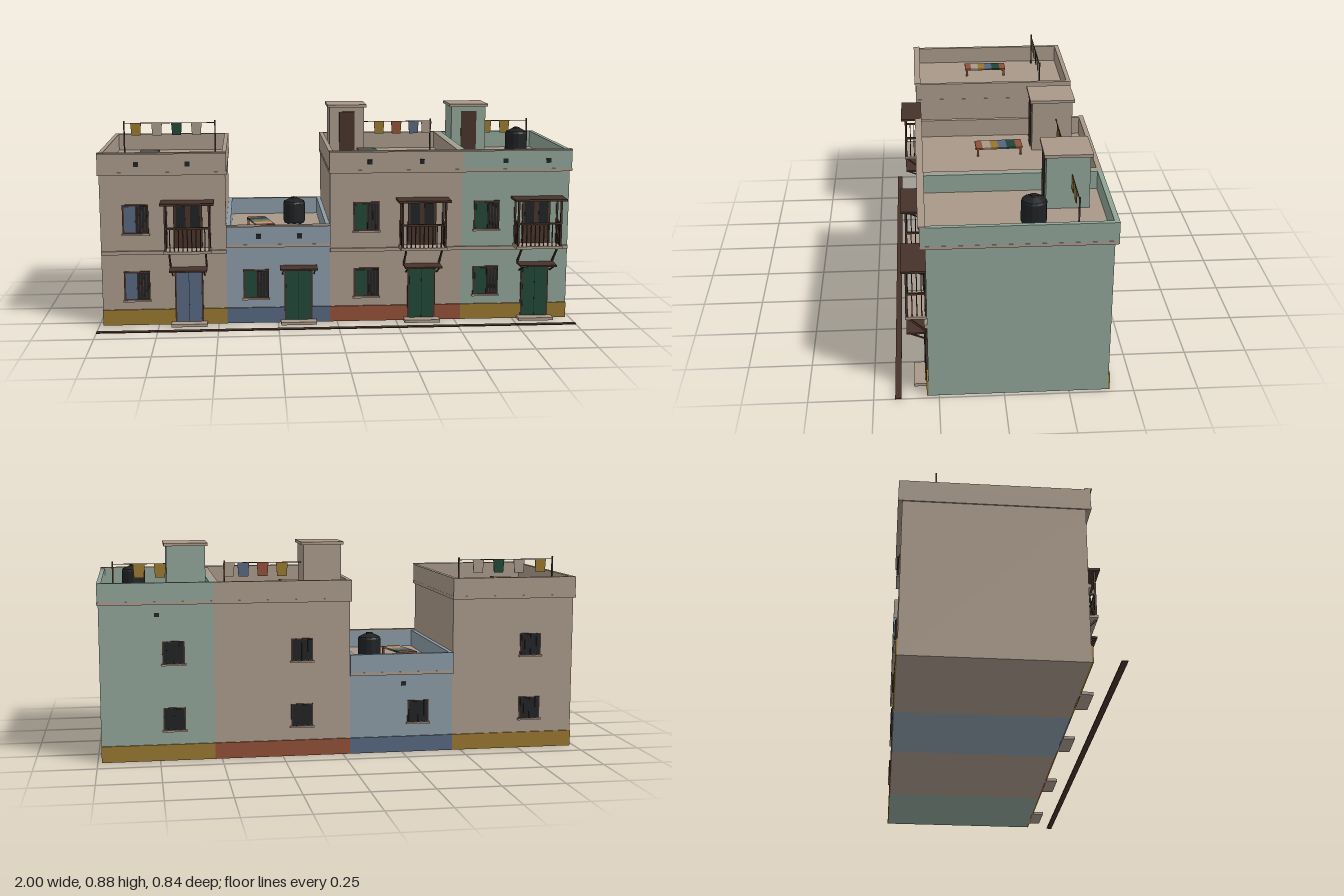
import * as THREE from 'three';

const mat = (name, color) => {
  const m = new THREE.MeshStandardMaterial({ color });
  m.name = name;
  return m;
};

export function createModel() {
  const M = {
    taupe: mat('taupe plaster', 0xa89889),
    sage: mat('sage plaster', 0x8fa396),
    sky: mat('pale blue plaster', 0x8a9aa5),
    ochre: mat('ochre', 0x96762f),
    brick: mat('brick red', 0x8f4f36),
    slate: mat('slate blue', 0x56657d),
    green: mat('dark green', 0x1f4636),
    brown: mat('dark brown', 0x463229),
    black: mat('near black', 0x1f2123),
  };
  const root = new THREE.Group();
  root.name = 'houseRow';

  const group = (name, parent, x = 0, y = 0, z = 0) => {
    const g = new THREE.Group();
    g.name = name;
    g.position.set(x, y, z);
    parent.add(g);
    return g;
  };
  const add = (name, geo, m, parent) => {
    const mesh = new THREE.Mesh(geo, m);
    mesh.name = name;
    parent.add(mesh);
    return mesh;
  };
  // Box given by its limits on each axis
  const box = (name, m, parent, x0, x1, y0, y1, z0, z1) => {
    const b = add(name, new THREE.BoxGeometry(x1 - x0, y1 - y0, z1 - z0), m, parent);
    b.position.set((x0 + x1) / 2, (y0 + y1) / 2, (z0 + z1) / 2);
    return b;
  };
  // Square bar between two points in a plane of constant x
  const strut = (name, m, parent, x, y0, z0, y1, z1, t) => {
    const s = add(name, new THREE.BoxGeometry(t, t, Math.hypot(y1 - y0, z1 - z0)), m, parent);
    s.position.set(x, (y0 + y1) / 2, (z0 + z1) / 2);
    s.rotation.x = -Math.atan2(y1 - y0, z1 - z0);
  };

  const FRONT = 0.29, BACK = -0.402;

  // Rectangular wall ring around a flat roof
  function parapet(parent, m, x0, x1, y0, y1) {
    const rect = (P, a, b, c, d) => new P().moveTo(a, c).lineTo(b, c).lineTo(b, d).lineTo(a, d).closePath();
    const s = rect(THREE.Shape, x0, x1, -0.31, 0.417);
    s.holes.push(rect(THREE.Path, x0 + 0.018, x1 - 0.018, -0.29, 0.397));
    const p = add('parapet', new THREE.ExtrudeGeometry(s, { depth: y1 - y0, bevelEnabled: false }), m, parent);
    p.rotation.x = -Math.PI / 2;
    p.position.y = y0;
  }

  function frontWindow(parent, x, y, paint) {
    const g = group('frontWindow', parent, x, y, FRONT);
    box('windowFrame', M.brown, g, -0.054, 0.054, 0, 0.123, 0, 0.006);
    box('paintedSash', paint, g, -0.046, 0, 0.007, 0.116, 0.006, 0.009);
    box('openPane', M.black, g, 0.003, 0.05, 0.006, 0.117, 0.006, 0.01);
    for (const bx of [0.014, 0.027, 0.04]) box('windowBar', M.brown, g, bx - 0.0015, bx + 0.0015, 0.006, 0.117, 0.01, 0.012);
    box('windowSill', M.taupe, g, -0.058, 0.058, -0.007, 0, 0, 0.012);
  }

  function backWindow(parent, x, y) {
    const g = group('backWindow', parent, x, y, BACK);
    box('windowFrame', M.brown, g, -0.045, 0.045, 0, 0.092, -0.005, 0);
    box('windowPane', M.black, g, -0.04, 0.04, 0.004, 0.088, -0.008, -0.005);
    for (const bx of [-0.025, 0, 0.025]) box('windowBar', M.black, g, bx - 0.002, bx + 0.002, 0, 0.092, -0.011, -0.008);
    box('windowSill', M.taupe, g, -0.05, 0.05, -0.007, 0, -0.012, 0);
  }

  function entrance(parent, x, paint) {
    const g = group('entrance', parent, x, 0, FRONT);
    box('doorFrame', M.brown, g, -0.059, 0.059, 0, 0.23, 0, 0.008);
    box('door', paint, g, -0.052, 0.052, 0.012, 0.223, 0.008, 0.011);
    box('doorSeam', M.black, g, -0.001, 0.001, 0.012, 0.223, 0.011, 0.012);
    box('doorStep', M.taupe, g, -0.075, 0.075, 0, 0.012, 0, 0.055);
    box('doorCanopy', M.brown, g, -0.078, 0.078, 0.239, 0.246, 0, 0.078);
    for (const s of [-1, 1]) strut('canopyBrace', M.brown, g, s * 0.066, 0.21, 0.002, 0.24, 0.074, 0.005);
  }

  function balcony(parent, x) {
    const g = group('balcony', parent, x, 0, FRONT);
    const T = M.brown;
    box('balconySlab', M.taupe, g, -0.098, 0.098, 0.317, 0.328, 0, 0.082);
    box('balconyDoorFrame', T, g, -0.06, 0.06, 0.328, 0.518, 0, 0.007);
    for (const s of [-1, 1]) {
      box('balconyDoorGlass', M.black, g, s * 0.03 - 0.02, s * 0.03 + 0.02, 0.41, 0.505, 0.007, 0.009);
      box('balconyPost', T, g, s * 0.09 - 0.004, s * 0.09 + 0.004, 0.328, 0.522, 0.07, 0.078);
      box('wallPost', T, g, s * 0.09 - 0.004, s * 0.09 + 0.004, 0.328, 0.522, 0, 0.006);
      box('sideRail', T, g, s * 0.09 - 0.004, s * 0.09 + 0.004, 0.42, 0.428, 0, 0.078);
      for (let i = 1; i < 4; i++) box('sideBaluster', T, g, s * 0.09 - 0.002, s * 0.09 + 0.002, 0.328, 0.42, i * 0.018 - 0.002, i * 0.018 + 0.002);
      strut('balconyBrace', T, g, s * 0.075, 0.25, 0.002, 0.317, 0.078, 0.007);
    }
    box('frontRail', T, g, -0.094, 0.094, 0.42, 0.428, 0.07, 0.078);
    for (let i = -4; i <= 4; i++) box('frontBaluster', T, g, i * 0.018 - 0.002, i * 0.018 + 0.002, 0.328, 0.42, 0.072, 0.076);
    box('balconyCanopy', T, g, -0.11, 0.11, 0.521, 0.53, 0, 0.094);
  }

  function waterTank(parent, x, y, z) {
    const profile = [[0, 0.01], [0.044, 0.01], [0.049, 0.02], [0.049, 0.1], [0.045, 0.108], [0.016, 0.122], [0.014, 0.126], [0, 0.126]];
    const geo = new THREE.LatheGeometry(profile.map(p => new THREE.Vector2(...p)), 14).toNonIndexed();
    geo.computeVertexNormals();
    const g = group('waterTank', parent, x, y, z);
    add('tankBody', geo, M.black, g);
    for (const a of [0.8, 2.4, 3.9, 5.5]) {
      const c = Math.cos(a) * 0.037, s = Math.sin(a) * 0.037;
      box('tankFoot', M.black, g, c - 0.005, c + 0.005, 0, 0.012, s - 0.005, s + 0.005);
    }
  }

  function cot(parent, x, y, turn) {
    const g = group('stripedCot', parent, x, y, -0.033);
    g.rotation.y = turn;
    const stripes = [['brick', -0.098, -0.07], ['green', -0.07, -0.032], ['slate', -0.032, 0.003],
      ['ochre', 0.003, 0.035], ['taupe', 0.035, 0.07], ['brick', 0.07, 0.098]];
    for (const [c, a, b] of stripes) box('cotStripe', M[c], g, -0.041, 0.041, 0.03, 0.037, a, b);
    for (const sx of [-1, 1]) for (const sz of [-1, 1])
      box('cotLeg', M.brick, g, sx * 0.036 - 0.004, sx * 0.036 + 0.004, 0, 0.03, sz * 0.09 - 0.004, sz * 0.09 + 0.004);
  }

  function clothesline(parent, x0, x1, y, posts, clothes) {
    const g = group('clothesline', parent, 0, 0, -0.275);
    for (const p of posts) box('linePost', M.brown, g, p - 0.003, p + 0.003, y, 0.8, -0.003, 0.003);
    box('line', M.brown, g, x0, x1, 0.788, 0.791, -0.0015, 0.0015);
    // Each garment narrows a little at the top
    for (const [x, c] of clothes) {
      const s = new THREE.Shape().moveTo(-0.02, 0).lineTo(0.02, 0).lineTo(0.024, 0.056).lineTo(-0.024, 0.056).closePath();
      const cloth = add('garment', new THREE.ExtrudeGeometry(s, { depth: 0.004, bevelEnabled: false }), M[c], g);
      cloth.position.set(x, 0.733, -0.002);
    }
  }

  // Stair head with a door, standing on the roof
  function stairHead(parent, x, y, wall) {
    const g = group('stairHead', parent, x, 0, 0);
    box('stairHeadWalls', wall, g, -0.078, 0.078, y, 0.865, -0.344, -0.175);
    box('stairHeadCap', M.taupe, g, -0.088, 0.088, 0.865, 0.877, -0.353, -0.166);
    box('stairHeadDoor', M.brown, g, -0.034, 0.036, y, 0.845, -0.175, -0.171);
  }

  const houses = [
    { x0: -0.984, x1: -0.465, wall: 'taupe', base: 'ochre', paint: 'slate', win: -0.839, door: -0.623, tall: true, vents: [-0.83, -0.62], back: -0.8 },
    { x0: -0.465, x1: -0.03, wall: 'sky', base: 'slate', paint: 'green', win: -0.342, door: -0.164, tall: false, vents: [-0.33, -0.16], back: -0.318, backVent: [-0.255, 0.288] },
    { x0: -0.03, x1: 0.527, wall: 'taupe', base: 'brick', paint: 'green', win: 0.123, door: 0.358, tall: true, vents: [0.135, 0.353], back: 0.17 },
    { x0: 0.527, x1: 0.984, wall: 'sage', base: 'ochre', paint: 'green', win: 0.633, door: 0.845, tall: true, vents: [0.705, 0.888], back: 0.69, backVent: [0.754, 0.595] },
  ];
  const TALL = 0.637, LOW = 0.328, SLAB = 0.013;

  houses.forEach((h, i) => {
    const g = group('house' + (i + 1), root);
    const wall = M[h.wall], paint = M[h.paint];
    const top = h.tall ? TALL : LOW, roof = top + SLAB;
    // Overhang only where no equally tall neighbour touches
    const a = h.x0 - (i === 0 || i === 2 ? 0.004 : 0), b = h.x1 + (i === 0 || i === 3 ? 0.004 : 0);
    box('walls', wall, g, h.x0, h.x1, 0, top, BACK, FRONT);
    box('frontPlinth', M[h.base], g, h.x0, h.x1, 0, 0.066, FRONT, FRONT + 0.007);
    box('backPlinth', M[h.base], g, h.x0, h.x1, 0, 0.066, BACK - 0.006, BACK);
    box('roofSlabCornice', M.taupe, g, a - 0.001, b + 0.001, top, roof, -0.418, 0.311);
    parapet(g, wall, a, b, roof, top + 0.088);
    box('frontCoping', M.taupe, g, a, b, top + 0.088, top + 0.094, 0.288, 0.316);
    for (const v of h.vents) box('roofDrain', M.black, g, v - 0.01, v + 0.01, top + 0.037, top + 0.057, 0.31, 0.314);
    if (h.backVent) {
      const [vx, vy] = h.backVent;
      box('backVent', M.black, g, vx - 0.01, vx + 0.01, vy - 0.008, vy + 0.008, BACK - 0.005, BACK);
    }
    entrance(g, h.door, paint);
    frontWindow(g, h.win, 0.107, paint);
    backWindow(g, h.back, 0.125);
    if (h.tall) {
      box('floorBand', M.taupe, g, h.x0, h.x1, 0.302, 0.317, FRONT, FRONT + 0.01);
      frontWindow(g, h.win, 0.39, paint);
      backWindow(g, h.back, 0.396);
      balcony(g, h.door);
    }
  });

  // Rooftop furnishings
  const roofs = group('rooftops', root);
  const hi = TALL + SLAB, lo = LOW + SLAB;
  stairHead(roofs, 0.077, hi, M.taupe);
  stairHead(roofs, 0.633, hi, M.sage);
  waterTank(roofs, -0.165, lo, -0.122);
  waterTank(roofs, 0.842, hi, -0.117);
  cot(roofs, -0.803, hi, 0);
  cot(roofs, -0.318, lo, 0.22);
  cot(roofs, 0.163, hi, 0.04);
  clothesline(roofs, -0.933, -0.52, hi, [-0.933, -0.52],
    [[-0.88, 'ochre'], [-0.785, 'taupe'], [-0.695, 'green'], [-0.605, 'taupe']]);
  clothesline(roofs, 0.155, 0.473, hi, [0.473],
    [[0.235, 'ochre'], [0.315, 'brick'], [0.395, 'slate'], [0.455, 'taupe']]);
  clothesline(roofs, 0.711, 0.925, hi, [0.925], [[0.735, 'ochre'], [0.82, 'ochre']]);

  // Street edge
  box('kerb', M.brown, root, -1, 1, 0, 0.004, 0.394, 0.418);
  return root;
}
